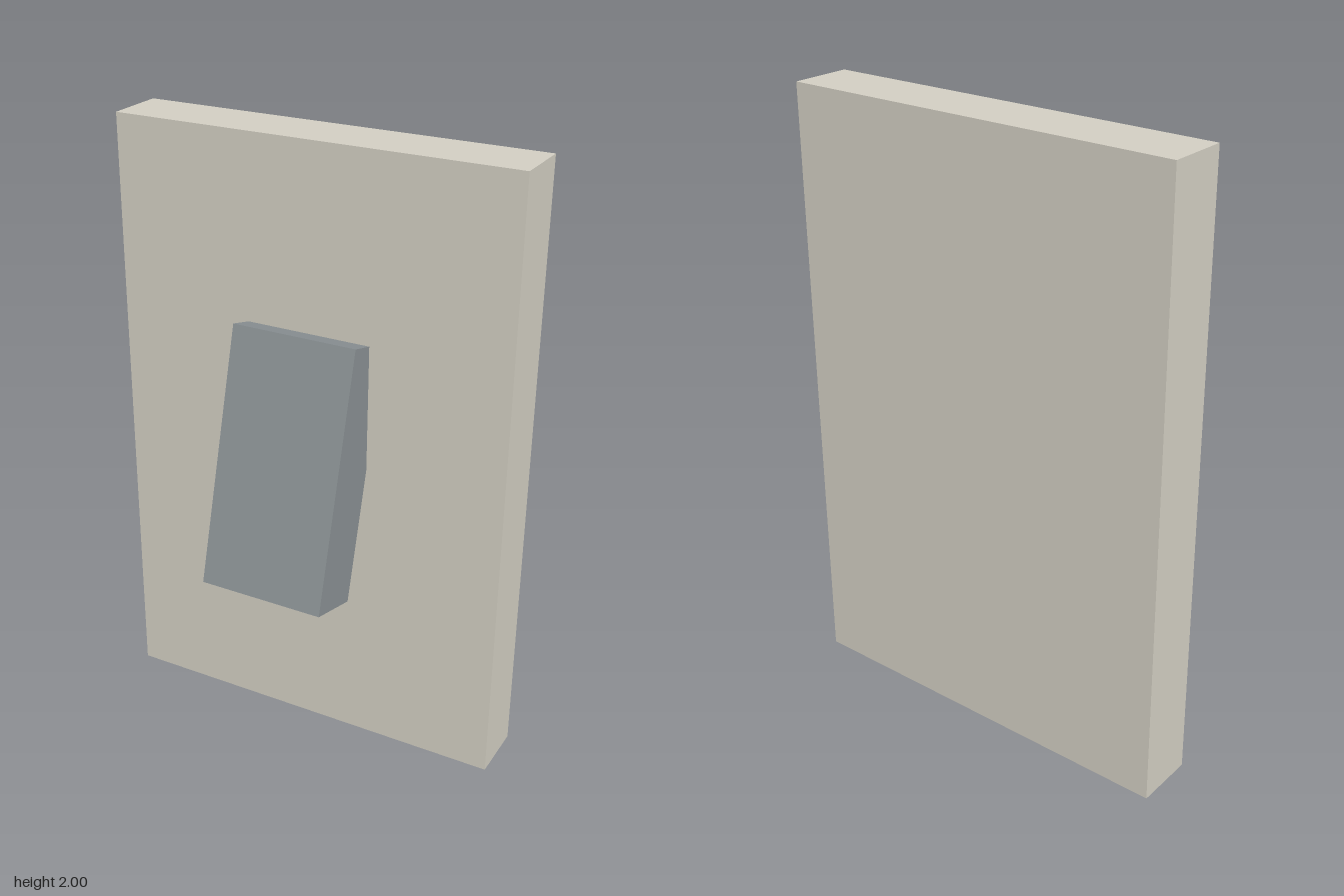
import * as THREE from 'three';

export function createModel() {
  const group = new THREE.Group();
  const stone = new THREE.MeshStandardMaterial({ color: 0xd2cec2 });
  stone.name = 'pale stone';
  const slate = new THREE.MeshStandardMaterial({ color: 0x8a9194 });
  slate.name = 'slate grey';

  const addBox = (name, size, position, material) => {
    const mesh = new THREE.Mesh(new THREE.BoxGeometry(...size), material);
    mesh.name = name;
    mesh.position.set(...position);
    group.add(mesh);
    return mesh;
  };

  // Upright wall plate
  addBox('wallPlate', [1.333, 2, 0.2], [0, 1, -0.153], stone);

  // Switch lever, its lower end tipped forward, its upper end sunk into the plate
  const lever = addBox('switchLever', [0.417, 0.833, 0.2], [0, 1.002, 0.048], slate);
  lever.rotation.x = -Math.PI / 12;

  return group;
}
